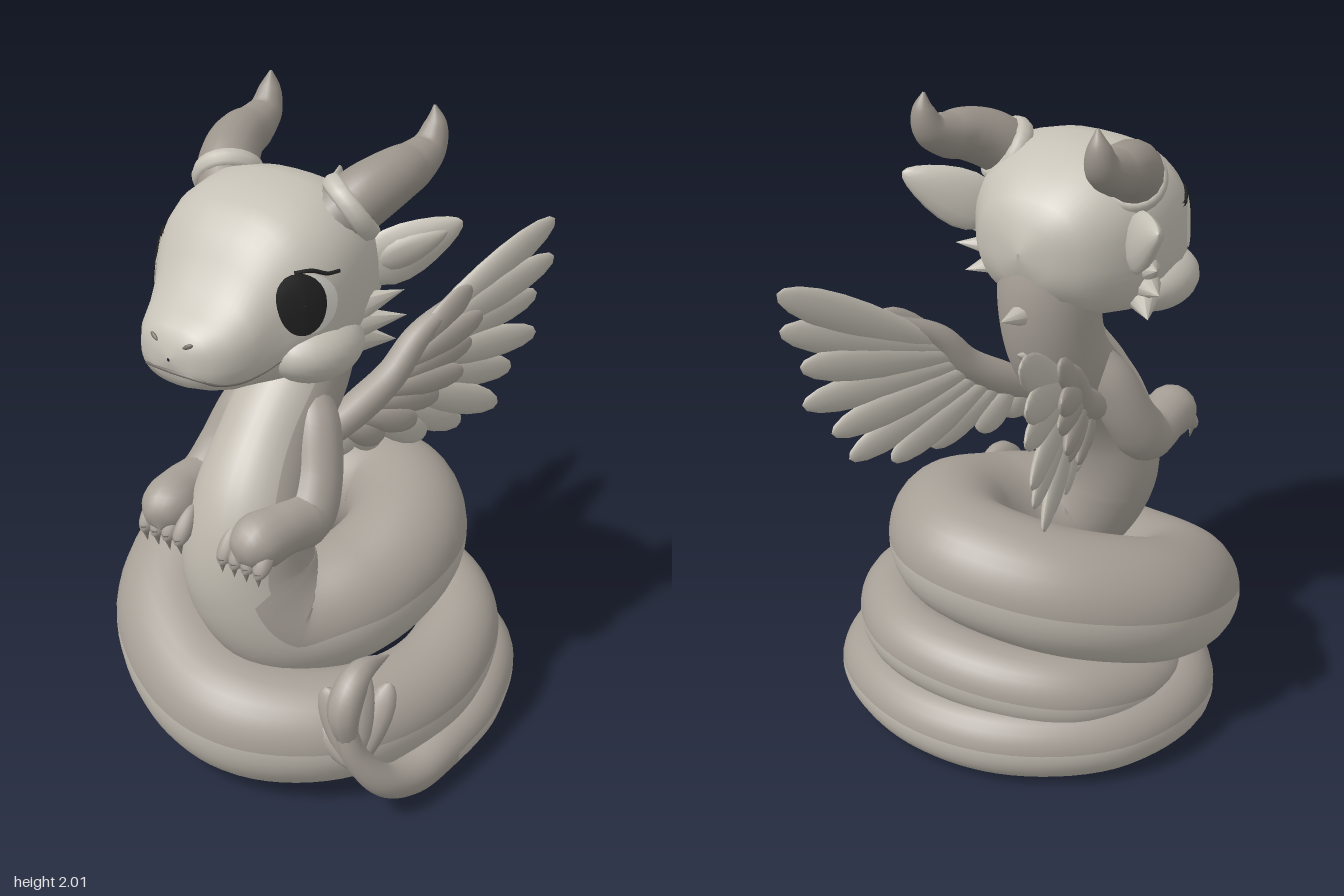
import * as THREE from 'three';

const V = (x, y, z) => new THREE.Vector3(x, y, z);
const paint = (name, color) => Object.assign(new THREE.MeshStandardMaterial({ color }), { name });
const AXIS = -0.03; // mirror plane of head, arms and wings

// Skin over closed rings; patch(i, j) picks the second material
function skin(rings, patch = () => false) {
  const n = rings[0].length, sets = [[], []];
  for (let i = 0; i < rings.length - 1; i++) for (let j = 0; j < n; j++) {
    const k = (j + 1) % n, a = i * n + j, b = i * n + k, c = a + n, d = b + n;
    sets[patch(i, j) ? 1 : 0].push(a, b, c, b, d, c);
  }
  const g = new THREE.BufferGeometry().setFromPoints(rings.flat());
  g.setIndex([...sets[0], ...sets[1]]);
  g.addGroup(0, sets[0].length, 0);
  g.addGroup(sets[0].length, sets[1].length, 1);
  g.computeVertexNormals();
  return g;
}

// Tapered tube through [x, y, z, radius]; ref(t, p) is the direction of ring angle zero
function sweep(pts, steps, n, ref, patch) {
  const path = new THREE.CatmullRomCurve3(pts.map(p => V(p[0], p[1], p[2])));
  const size = new THREE.CatmullRomCurve3(pts.map((p, i) => V(p[3], i, 0)));
  const rings = [];
  for (let i = 0; i <= steps; i++) {
    const t = i / steps, p = path.getPoint(t), T = path.getTangent(t);
    const r = Math.max(0.001, size.getPoint(t).x);
    const N = ref(t, p).addScaledVector(T, -ref(t, p).dot(T)).normalize();
    const B = T.clone().cross(N);
    rings.push(Array.from({ length: n }, (_, j) => {
      const a = (j / n) * Math.PI * 2;
      return p.clone().addScaledVector(N, Math.cos(a) * r).addScaledVector(B, Math.sin(a) * r);
    }));
  }
  return skin(rings, patch);
}

// Flattened leaf from a to b, wider toward the tip when flare > 0
function leaf(a, b, width, thick, normal, flare = 0.2) {
  const g = new THREE.SphereGeometry(1, 12, 10), p = g.attributes.position;
  const Y = b.clone().sub(a), len = Y.length();
  Y.normalize();
  const Z = normal.clone().addScaledVector(Y, -normal.dot(Y)).normalize();
  for (let i = 0; i < p.count; i++) {
    const y = p.getY(i);
    p.setXYZ(i, p.getX(i) * width / 2 * (1 + flare * y), y * len / 2, p.getZ(i) * thick / 2);
  }
  g.applyMatrix4(new THREE.Matrix4().makeBasis(Y.clone().cross(Z), Y, Z).setPosition(a.clone().lerp(b, 0.5)));
  g.computeVertexNormals();
  return g;
}

function cone(a, b, r) {
  const d = b.clone().sub(a), g = new THREE.ConeGeometry(r, d.length(), 8);
  g.applyQuaternion(new THREE.Quaternion().setFromUnitVectors(V(0, 1, 0), d.clone().normalize()));
  return g.translate(...a.clone().lerp(b, 0.5).toArray());
}

// Head sections: z, half width, top, bottom, shaped as slightly squared ovals
const SQUARE = 2.5;
const HEAD = [[-0.12, 0.005, 1.56, 1.54], [-0.105, 0.1, 1.65, 1.46], [-0.07, 0.18, 1.71, 1.4], [0, 0.245, 1.775, 1.35],
  [0.1, 0.295, 1.825, 1.31], [0.2, 0.315, 1.845, 1.285], [0.3, 0.31, 1.825, 1.28], [0.36, 0.288, 1.8, 1.285],
  [0.4, 0.268, 1.775, 1.29], [0.44, 0.24, 1.735, 1.295], [0.48, 0.212, 1.675, 1.3], [0.53, 0.192, 1.595, 1.31],
  [0.59, 0.165, 1.545, 1.33], [0.635, 0.125, 1.52, 1.35], [0.655, 0.07, 1.48, 1.38], [0.663, 0.004, 1.44, 1.43]];
function headX(z, y) {
  const i = Math.max(1, HEAD.findIndex(s => s[0] >= z)), a = HEAD[i - 1], b = HEAD[i];
  const [w, top, low] = [1, 2, 3].map(k => THREE.MathUtils.mapLinear(z, a[0], b[0], a[k], b[k]));
  const q = Math.abs((y - (top + low) / 2) / ((top - low) / 2));
  return w * Math.max(0.01, 1 - q ** SQUARE) ** (1 / SQUARE);
}
// Oval lying on the left side of the face
function facePatch(zc, yc, rz, ry, lift) {
  const rings = [];
  for (let i = 0; i <= 6; i++) rings.push(Array.from({ length: 28 }, (_, j) => {
    const a = (j / 28) * Math.PI * 2, s = Math.max(0.01, i / 6);
    const z = zc + Math.cos(a) * rz * s, y = yc + Math.sin(a) * ry * s;
    return V(headX(z, y) + lift * 0.8, y, z + lift * 0.6);
  }));
  return skin(rings);
}

export function createModel() {
  const M = {
    body: paint('body scales', 0xa7a097), belly: paint('belly plates', 0xbeb8ad), head: paint('pale face', 0xc6c1b6),
    horn: paint('horn', 0x9b948b), feather: paint('feather', 0xc1bcb1), claw: paint('claw', 0x938c83),
    eye: paint('eye black', 0x222222), white: paint('eye white', 0xd8d5cd), line: paint('mouth line', 0x77716a),
  };
  M.eye.side = M.white.side = THREE.DoubleSide;
  const root = new THREE.Group();
  const add = (parent, name, geo, mat) => {
    const m = new THREE.Mesh(geo, mat);
    m.name = name;
    parent.add(m);
    return m;
  };

  // Neck, torso and upper coils in one tapering body
  const trunk = [[-0.03, 1.6, 0.05, 0.13], [-0.03, 1.4, 0.035, 0.155], [-0.03, 1.2, 0.08, 0.155], [-0.025, 1.02, 0.23, 0.16],
    [-0.01, 0.83, 0.34, 0.19], [0, 0.63, 0.37, 0.205], [0.08, 0.48, 0.3, 0.205], [0.21, 0.5, 0.12, 0.2],
    [0.23, 0.58, -0.12, 0.195], [0.05, 0.61, -0.31, 0.192], [-0.25, 0.56, -0.25, 0.195], [-0.44, 0.46, 0, 0.195],
    [-0.38, 0.33, 0.3, 0.195], [-0.14, 0.23, 0.47, 0.195], [0.1, 0.2, 0.5, 0.19], [0.34, 0.2, 0.36, 0.17],
    [0.45, 0.22, 0.08, 0.15], [0.4, 0.27, -0.2, 0.13], [0.2, 0.29, -0.39, 0.12], [-0.1, 0.28, -0.41, 0.12],
    [-0.36, 0.25, -0.28, 0.12], [-0.46, 0.2, -0.02, 0.1], [-0.38, 0.16, 0.2, 0.06]];
  const outward = p => V(p.x, 0, p.z).normalize().multiplyScalar(0.62).add(V(0, -0.78, 0));
  const bellySide = (i, j) => j < 5 || j >= 27;
  add(root, 'coiledBody', sweep(trunk, 180, 32, (t, p) => t < 0.23 ? V(0, 0, 1) : outward(p), bellySide), [M.body, M.belly]);

  // Lowest coil thinning into the tail
  const tail = [[-0.15, 0.1, 0.37, 0.005], [-0.18, 0.1, 0.36, 0.075], [-0.3, 0.11, 0.3, 0.105], [-0.43, 0.115, 0.19, 0.12],
    [-0.515, 0.12, 0.02, 0.125], [-0.45, 0.115, -0.25, 0.12], [-0.2, 0.115, -0.45, 0.12], [0.1, 0.11, -0.485, 0.115],
    [0.39, 0.105, -0.36, 0.105], [0.535, 0.09, -0.08, 0.09], [0.565, 0.08, 0.16, 0.075], [0.57, 0.08, 0.32, 0.06],
    [0.55, 0.13, 0.44, 0.05], [0.5, 0.24, 0.51, 0.04], [0.47, 0.36, 0.53, 0.03], [0.46, 0.4, 0.53, 0.005]];
  add(root, 'tail', sweep(tail, 120, 24, (t, p) => outward(p), (i, j) => i < 80 && (j < 4 || j >= 21)), [M.body, M.belly]);

  // Leafy tail tip
  const curl = [[0.49, 0.26, 0.52, 0.02], [0.47, 0.4, 0.53, 0.05], [0.47, 0.49, 0.46, 0.042], [0.48, 0.485, 0.32, 0.003]];
  add(root, 'tailCurl', sweep(curl, 24, 10, () => V(1, 0, 0.1)), M.body);
  for (const [x, y, z, w] of [[0.47, 0.53, 0.45, 0.1], [0.38, 0.43, 0.5, 0.1], [0.34, 0.3, 0.5, 0.08], [0.53, 0.44, 0.38, 0.09]])
    add(root, 'tailLeaf', leaf(V(0.49, 0.18, 0.5), V(x, y, z), w, 0.065, V(0.3, 0, 1)), M.body);

  // Everything symmetric lives in a slightly shifted frame
  const upper = new THREE.Group();
  upper.name = 'upperParts';
  upper.position.x = AXIS;
  root.add(upper);

  // Head with muzzle
  const bow = v => Math.sign(v) * Math.abs(v) ** (2 / SQUARE);
  const rings = HEAD.map(([z, w, top, low]) => Array.from({ length: 48 }, (_, j) => {
    const a = (j / 48) * Math.PI * 2;
    return V(bow(Math.cos(a)) * w, (top + low) / 2 + bow(Math.sin(a)) * (top - low) / 2, z);
  }));
  add(upper, 'head', skin(rings), M.head);
  const lip = [[0.45, 1.415], [0.49, 1.385], [0.55, 1.37], [0.61, 1.375], [0.64, 1.39]].map(([z, y]) => V(headX(z, y), y, z));
  const smile = [...lip, V(0, 1.4, 0.66), ...lip.map(p => V(-p.x, p.y, p.z)).reverse()];
  add(upper, 'mouth', new THREE.TubeGeometry(new THREE.CatmullRomCurve3(smile), 50, 0.005, 6), M.line);

  // Spines down the neck and back
  for (const [y1, z1, y2, z2, r] of [[1.36, -0.09, 1.375, -0.21, 0.04], [1.2, -0.05, 1.24, -0.13, 0.035],
    [1.03, 0.08, 1.03, -0.02, 0.035], [0.89, 0.14, 0.84, -0.02, 0.045], [0.75, 0.19, 0.69, 0.06, 0.045]])
    add(upper, 'backSpine', cone(V(0, y1, z1), V(0, y2, z2), r), M.feather);

  const side = new THREE.Group();
  side.name = 'leftParts';

  // Eye, lash, cheek and nostril
  add(side, 'eyeWhite', facePatch(0.384, 1.572, 0.076, 0.085, 0.004), M.white);
  add(side, 'eye', facePatch(0.402, 1.575, 0.06, 0.088, 0.008), M.eye);
  const lash = [[0.41, 1.663], [0.37, 1.665], [0.33, 1.65], [0.295, 1.65]].map(([z, y]) => V(headX(z, y) + 0.003, y, z));
  add(side, 'eyelash', new THREE.TubeGeometry(new THREE.CatmullRomCurve3(lash), 20, 0.006, 6), M.eye);
  const cheek = new THREE.SphereGeometry(1, 24, 16).scale(0.13, 0.1, 0.16);
  add(side, 'cheek', cheek.translate(0.215, 1.405, 0.29), M.head);
  add(side, 'nostril', leaf(V(0.045, 1.478, 0.654), V(0.075, 1.492, 0.645), 0.014, 0.012, V(0.4, 0, 1)), M.line);

  // Horn and its collar
  const horn = [[0.19, 1.73, 0.17, 0.09], [0.245, 1.795, 0.1, 0.09], [0.28, 1.835, 0.01, 0.08], [0.29, 1.85, -0.07, 0.068],
    [0.297, 1.885, -0.14, 0.052], [0.3, 1.945, -0.165, 0.034], [0.295, 2, -0.165, 0.003]];
  add(side, 'horn', sweep(horn, 36, 16, () => V(1, 0.3, 0.4)), M.horn);
  const collar = new THREE.TorusGeometry(0.088, 0.022, 8, 24).scale(1, 1, 1.4);
  collar.applyQuaternion(new THREE.Quaternion().setFromUnitVectors(V(0, 0, 1), V(0.55, 0.6, -0.65).normalize()));
  add(side, 'hornCollar', collar.translate(0.22, 1.765, 0.13), M.head);

  // Ear and cheek spikes
  add(side, 'ear', leaf(V(0.24, 1.565, 0.1), V(0.45, 1.71, -0.09), 0.17, 0.07, V(0.55, -0.2, 0.8), -0.4), M.head);
  add(side, 'innerEar', leaf(V(0.29, 1.6, 0.085), V(0.43, 1.69, -0.045), 0.09, 0.05, V(0.55, -0.2, 0.8), -0.4), M.belly);
  for (const [y, tipX, tipY] of [[1.48, 0.36, 1.53], [1.435, 0.37, 1.455], [1.39, 0.335, 1.37]])
    add(side, 'cheekSpike', cone(V(0.25, y, 0.17), V(tipX, tipY, 0.06), 0.055), M.head);

  // Arm, paw and claws
  const arm = [[0.08, 1.16, 0.14, 0.06], [0.13, 1.07, 0.18, 0.08], [0.175, 0.93, 0.24, 0.085], [0.19, 0.845, 0.31, 0.09],
    [0.19, 0.85, 0.42, 0.08], [0.17, 0.84, 0.51, 0.085], [0.155, 0.81, 0.56, 0.05], [0.15, 0.8, 0.575, 0.003]];
  add(side, 'arm', sweep(arm, 40, 16, () => V(1, 0, 0)), M.body);
  for (let k = 0; k < 4; k++) {
    const x = 0.085 + k * 0.045;
    add(side, 'finger', leaf(V(x, 0.87, 0.49), V(x, 0.765, 0.575), 0.055, 0.055, V(0, 0.5, 1)), M.body);
    add(side, 'claw', cone(V(x, 0.79, 0.565), V(x - 0.005, 0.73, 0.56), 0.018), M.claw);
  }

  // Wing: feathers fan out in an upright plane sweeping backward
  const wing = new THREE.Group();
  wing.name = 'wing';
  side.add(wing);
  const W = (z, y, out = 0) => V(0.14 - z * 0.4 + out, y, z), flat = V(0.93, 0, 0.37);
  const fan = (name, tips, from, to, width, out, mat) => tips.forEach(([z, y], i) => {
    const s = i / (tips.length - 1);
    const a = W(THREE.MathUtils.lerp(from[0], to[0], s), THREE.MathUtils.lerp(from[1], to[1], s), out);
    add(wing, name, leaf(a, W(z, y, out + (i % 2) * 0.015), width, 0.05, flat, 0.3), mat);
  });
  fan('longFeather', [[-0.69, 1.53], [-0.68, 1.41], [-0.64, 1.29], [-0.63, 1.16], [-0.56, 1.05], [-0.5, 0.94],
    [-0.38, 0.9], [-0.24, 0.9], [-0.09, 0.91], [0.03, 0.92]], [-0.2, 1.24], [0.06, 1.03], 0.11, 0, M.feather);
  fan('shortFeather', [[-0.37, 1.385], [-0.4, 1.29], [-0.38, 1.2], [-0.34, 1.11], [-0.27, 1.04], [-0.18, 0.98],
    [-0.08, 0.95]], [-0.14, 1.19], [0.06, 1.02], 0.09, 0.03, M.body);
  const bone = [[0.14, 0.99], [0, 1.07], [-0.11, 1.15], [-0.2, 1.26], [-0.36, 1.37]];
  const radii = [0.045, 0.055, 0.05, 0.042, 0.015];
  add(wing, 'wingArm', sweep(bone.map(([z, y], i) => [...W(z, y, 0.02).toArray(), radii[i]]), 24, 12, () => V(1, 0, 0.3)), M.body);

  const other = side.clone();
  other.name = 'rightParts';
  other.scale.x = -1;
  upper.add(side, other);
  return root;
}
